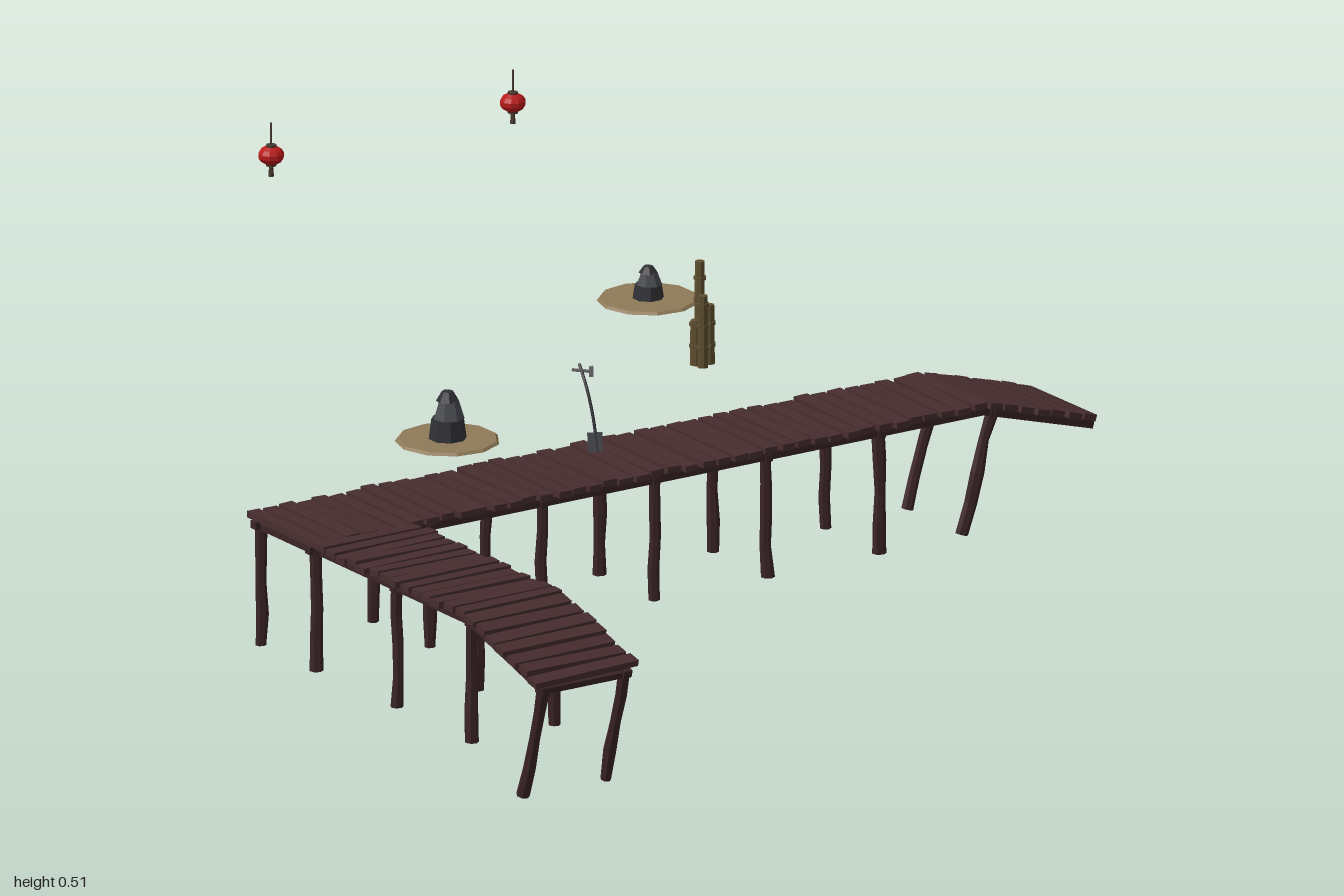
import * as THREE from 'three';

const material = (name, color) => {
  const m = new THREE.MeshStandardMaterial({ color, flatShading: true });
  m.name = name;
  return m;
};

export function createModel() {
  const mats = {
    plank: material('plankWood', 0x472d2f),
    post: material('postWood', 0x3b2426),
    disc: material('driedMud', 0x8f7a58),
    stone: material('greyStone', 0x4a4c51),
    dark: material('darkStone', 0x303136),
    bamboo: material('bamboo', 0x5f4e30),
    red: material('redPaper', 0xb81a1a),
    string: material('string', 0x4a3a30),
    metal: material('metal', 0x77757a),
  };
  let seed = 7;
  const rnd = (a) => {
    seed = (seed * 16807) % 2147483647;
    return (seed / 2147483647 * 2 - 1) * a;
  };
  const model = new THREE.Group();
  const add = (parent, name, geo, mat, x = 0, y = 0, z = 0) => {
    const mesh = new THREE.Mesh(geo, mat);
    mesh.name = name;
    mesh.position.set(x, y, z);
    parent.add(mesh);
    return mesh;
  };
  const group = (parent, name, x = 0, y = 0, z = 0) => {
    const g = new THREE.Group();
    g.name = name;
    g.position.set(x, y, z);
    parent.add(g);
    return g;
  };

  // Crooked timber: a cylinder whose rings vary in size and drift sideways
  const timber = (r, h) => {
    const geo = new THREE.CylinderGeometry(r, r, h, 7, 4);
    const rings = [0, 1, 2, 3, 4].map(() => [1 + rnd(0.16), rnd(r * 0.2), rnd(r * 0.2)]);
    const p = geo.attributes.position;
    for (let i = 0; i < p.count; i++) {
      const [s, dx, dz] = rings[Math.round((p.getY(i) / h + 0.5) * 4)];
      p.setXYZ(i, p.getX(i) * s + dx, p.getY(i), p.getZ(i) * s + dz);
    }
    geo.computeVertexNormals();
    return geo;
  };

  // One bay of walkway running along +x with its deck top at y = 0
  const bay = (parent, name, x, length, postX, pitch = 0, width = 0.18) => {
    const g = group(parent, name, x);
    g.rotation.z = pitch;
    const n = 7, step = length / n;
    for (let i = 0; i < n; i++) {
      const plank = add(g, 'plank', new THREE.BoxGeometry(step * 0.8 + rnd(0.0015), 0.01, width + rnd(0.006)),
        mats.plank, (i + 0.5) * step, -0.006 + rnd(0.0015), rnd(0.003));
      plank.rotation.set(rnd(0.012), rnd(0.025), rnd(0.05));
    }
    for (const side of [-1, 1]) {
      add(g, 'beam', new THREE.BoxGeometry(length, 0.012, 0.014), mats.post, length / 2, -0.017, side * 0.073);
      add(g, 'post', timber(0.0095, 0.195), mats.post, postX, -0.1095, side * 0.073);
    }
    add(g, 'crossBeam', new THREE.BoxGeometry(0.012, 0.01, 0.165), mats.post, postX, -0.02, 0);
    return g;
  };

  // Main walkway, ending in a downward ramp
  const dock = group(model, 'dock', -0.645, 0.258, 0.35);
  dock.rotation.y = 0.406;
  const span = 0.2017;
  for (let i = 0; i < 6; i++) bay(dock, 'mainBay', i * span, span, 0.015);
  bay(dock, 'mainRamp', 6 * span, 0.206, 0.02, -0.28);

  // Side walkway at a right angle
  const arm = group(dock, 'sideWalkway', 0.09, 0, 0.09);
  arm.rotation.y = -Math.PI / 2;
  for (let i = 0; i < 2; i++) bay(arm, 'sideBay', i * 0.2, 0.2, 0.197);
  bay(arm, 'sideRamp', 0.4, 0.21, 0.2, -0.28);

  // Stones standing on round flats
  const islet = (x, z, r, h, discR) => {
    const g = group(model, 'stoneIslet', x, 0.217, z);
    add(g, 'flat', new THREE.CylinderGeometry(discR * 0.95, discR, 0.004, 11), mats.disc);
    add(g, 'stoneBase', new THREE.CylinderGeometry(r * 0.85, r, h * 0.45, 8), mats.dark, 0, h * 0.22, 0);
    const body = add(g, 'stoneBody', new THREE.CylinderGeometry(r * 0.52, r * 0.82, h * 0.38, 7),
      mats.stone, r * 0.06, h * 0.63, 0);
    body.rotation.y = 0.4;
    add(g, 'stoneTop', new THREE.CylinderGeometry(r * 0.3, r * 0.6, h * 0.2, 7), mats.dark, 0, h * 0.9, 0);
  };
  islet(-0.3, -0.142, 0.029, 0.075, 0.079);
  islet(0.117, -0.75, 0.024, 0.051, 0.077);

  // Cluster of cut bamboo with raised joints
  const bamboo = group(model, 'bambooCluster', 0, 0.217, 0);
  for (const [x, z, h] of [[0.137, -0.437, 0.158], [0.15, -0.428, 0.092], [0.137, -0.412, 0.112], [0.128, -0.425, 0.07]]) {
    add(bamboo, 'stalk', new THREE.CylinderGeometry(0.0075, 0.0085, h, 7), mats.bamboo, x, h / 2, z);
    for (let y = 0.03; y < h; y += 0.034) {
      add(bamboo, 'joint', new THREE.CylinderGeometry(0.0098, 0.0098, 0.005, 7), mats.bamboo, x, y, z);
    }
  }

  // Hanging lanterns
  for (const [x, z] of [[-0.445, -0.797], [-0.045, -0.98]]) {
    const g = group(model, 'lantern', x, 0.46, z);
    add(g, 'paperShade', new THREE.SphereGeometry(0.02, 10, 7), mats.red).scale.y = 0.75;
    for (const side of [-1, 1]) {
      add(g, 'rim', new THREE.CylinderGeometry(0.008, 0.008, 0.004, 8), mats.string, 0, side * 0.0145, 0);
    }
    add(g, 'cord', new THREE.CylinderGeometry(0.0015, 0.0015, 0.036, 5), mats.string, 0, 0.033, 0);
    add(g, 'tassel', new THREE.CylinderGeometry(0.003, 0.0045, 0.018, 6), mats.string, 0, -0.024, 0);
  }

  // Bent rod in a small stand on the walkway
  const rod = group(model, 'rodStand');
  const curve = new THREE.CatmullRomCurve3([
    new THREE.Vector3(-0.115, 0.258, 0.084), new THREE.Vector3(-0.12, 0.31, 0.073),
    new THREE.Vector3(-0.127, 0.352, 0.058), new THREE.Vector3(-0.134, 0.382, 0.036),
  ]);
  add(rod, 'rod', new THREE.TubeGeometry(curve, 10, 0.0025, 5), mats.dark);
  const stand = add(rod, 'stand', new THREE.BoxGeometry(0.022, 0.03, 0.006), mats.stone, -0.118, 0.272, 0.08);
  stand.rotation.x = -0.2;
  const bar = add(rod, 'crossBar', new THREE.BoxGeometry(0.032, 0.004, 0.004), mats.metal, -0.13, 0.373, 0.042);
  bar.rotation.z = -0.15;
  add(rod, 'barEnd', new THREE.BoxGeometry(0.006, 0.016, 0.005), mats.metal, -0.117, 0.371, 0.042);

  // Stand the lowest post on the ground
  model.updateMatrixWorld(true);
  model.position.y = -new THREE.Box3().setFromObject(model, true).min.y;
  return model;
}
